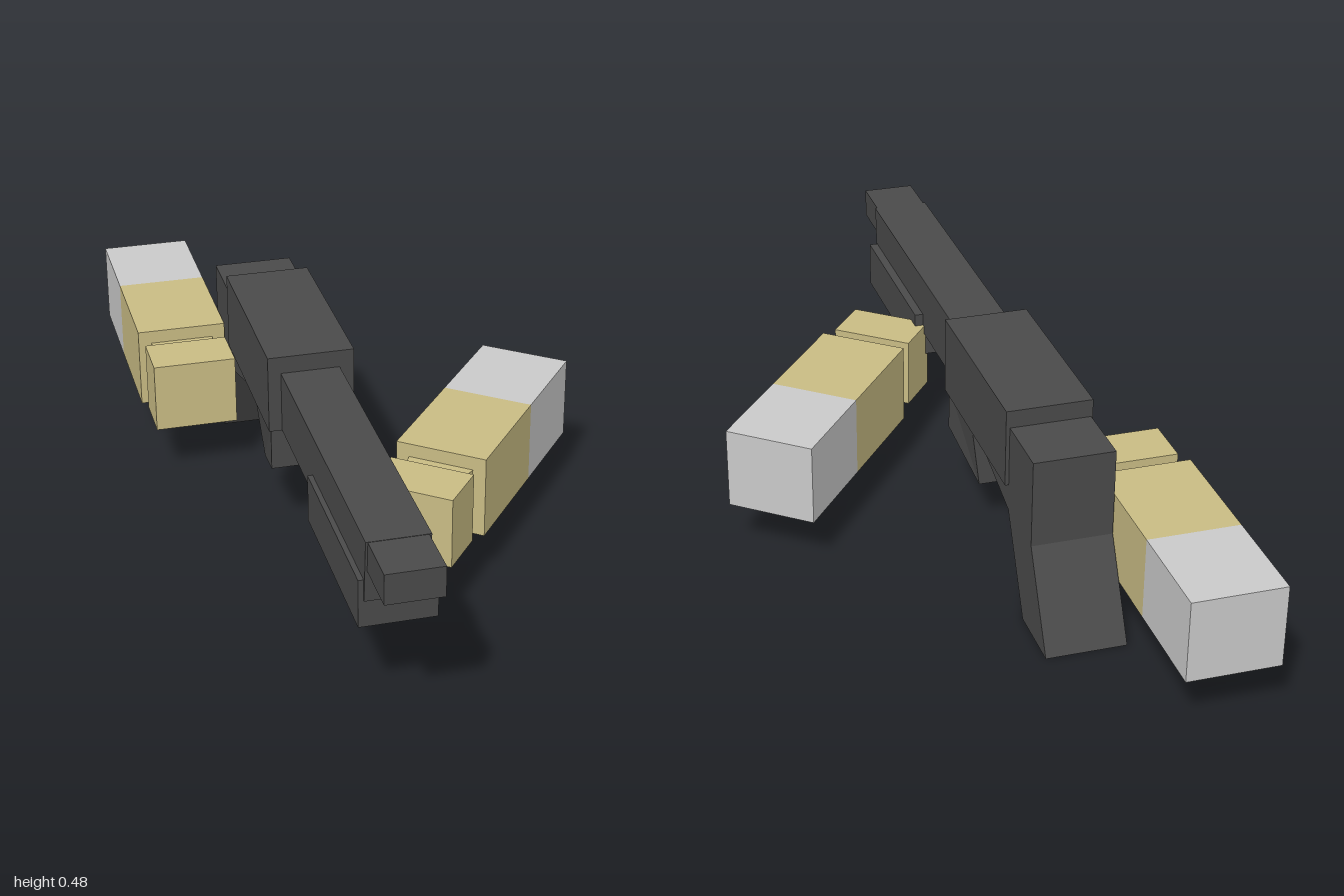
import * as THREE from 'three';

const mat = (name, color) => {
  const m = new THREE.MeshStandardMaterial({ color });
  m.name = name;
  return m;
};

export function createModel() {
  const gunmetal = mat('gunmetal', 0x4a4a4a);
  const tan = mat('tan', 0xc9bc84);
  const grey = mat('lightGrey', 0xcacaca);

  const add = (parent, name, geo, material) => {
    const mesh = new THREE.Mesh(geo, material);
    mesh.name = name;
    parent.add(mesh);
    return mesh;
  };

  // Box given by its limits on each axis
  const box = (x0, x1, y0, y1, z0, z1) =>
    new THREE.BoxGeometry(x1 - x0, y1 - y0, z1 - z0)
      .translate((x0 + x1) / 2, (y0 + y1) / 2, (z0 + z1) / 2);

  // Side profile of [z, y] points, extruded across x
  const sideProfile = (points, x0, x1) => {
    const shape = new THREE.Shape(points.map(([z, y]) => new THREE.Vector2(-z, y)));
    return new THREE.ExtrudeGeometry(shape, { depth: x1 - x0, bevelEnabled: false })
      .rotateY(Math.PI / 2).translate(x0, 0, 0);
  };

  // Shotgun
  const gun = new THREE.Group();
  gun.name = 'shotgun';
  add(gun, 'receiver', box(-0.28, -0.073, 0.29, 0.482, -0.39, 0.09), gunmetal);
  add(gun, 'barrel', sideProfile(
    [[0, 0.29], [0.86, 0.29], [0.873, 0.44], [0, 0.44]], -0.249, -0.108), gunmetal);
  add(gun, 'muzzle', box(-0.244, -0.114, 0.367, 0.439, 0.8, 1), gunmetal);
  add(gun, 'pump', box(-0.261, -0.087, 0.226, 0.341, 0.405, 0.857), gunmetal);
  add(gun, 'gripStock', sideProfile([
    [-0.16, 0.29], [-0.39, 0.225], [-0.51, 0], [-0.675, 0],
    [-0.555, 0.225], [-0.555, 0.439], [-0.3, 0.439], [-0.16, 0.35],
  ], -0.276, -0.082), gunmetal);

  // Trigger guard: sloping underside, narrower towards its low rear edge
  const guard = sideProfile(
    [[0.085, 0.3], [0.085, 0.187], [-0.1, 0.122], [-0.1, 0.3]], -0.275, -0.082);
  const p = guard.attributes.position;
  for (let i = 0; i < p.count; i++) {
    if (p.getY(i) < 0.15) p.setX(i, -0.1785 + (p.getX(i) + 0.1785) * 0.77);
  }
  guard.computeVertexNormals();
  add(gun, 'triggerGuard', guard, gunmetal);

  // Arm pointing along +z, with its sleeve end at the origin
  const makeArm = (name, x, z, turn) => {
    const arm = new THREE.Group();
    arm.name = name;
    add(arm, 'sleeve', box(-0.111, 0.111, 0.122, 0.323, 0, 0.255), grey);
    add(arm, 'forearm', box(-0.111, 0.111, 0.122, 0.323, 0.255, 0.55), tan);
    const wrist = box(-0.08, 0.08, 0.155, 0.29, 0.54, 0.61);
    const w = wrist.attributes.position;
    for (let i = 0; i < w.count; i++) if (w.getZ(i) > 0.58) w.setX(i, w.getX(i) * 0.9);
    wrist.computeVertexNormals();
    add(arm, 'wrist', wrist, tan);
    add(arm, 'hand', box(-0.102, 0.102, 0.136, 0.31, 0.602, 0.73), tan);
    arm.position.set(x, 0, z);
    arm.rotation.y = turn;
    return arm;
  };

  const model = new THREE.Group();
  model.name = 'armsWithShotgun';
  model.add(
    gun,
    makeArm('rightArm', -0.39, -1, 0),
    makeArm('leftArm', 0.411, -0.092, -0.672),
  );
  return model;
}
